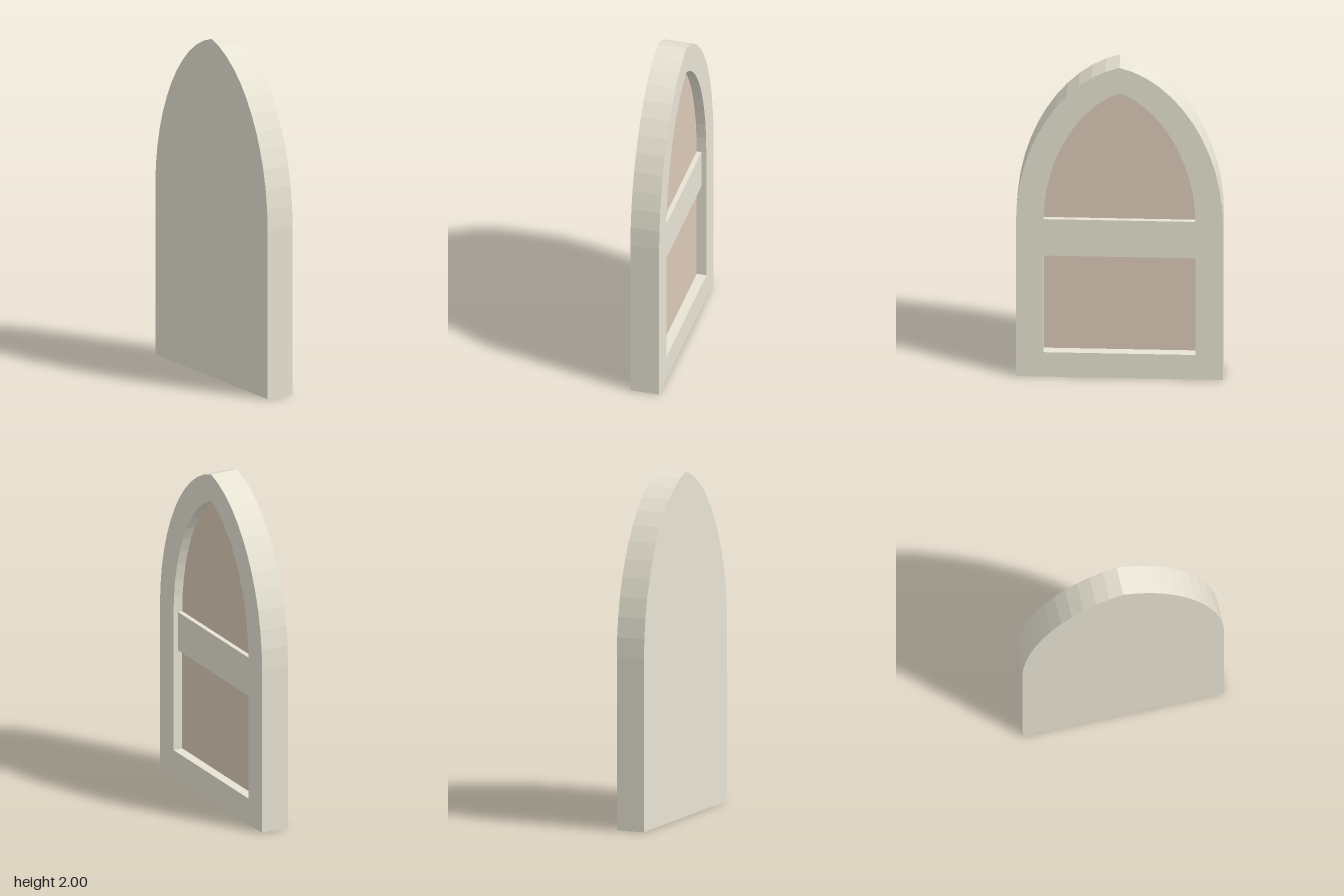
import * as THREE from 'three';

const HALF = 0.592, SPRING = 1.0, BORDER = 0.157;
const BACK = -0.085, FRONT = 0.085, PANEL = 0.028, RAIL = 0.056;

// Closed pointed-arch outline, inset by a distance measured square to the edge
function archPoints(inset) {
  const curve = new THREE.CubicBezierCurve(
    new THREE.Vector2(HALF, SPRING), new THREE.Vector2(HALF, 1.48),
    new THREE.Vector2(0.335, 1.916), new THREE.Vector2(0, 2));
  const side = [new THREE.Vector2(HALF - inset, inset)];
  const n = 12;
  for (let i = 0; i <= n; i++) {
    const p = curve.getPoint(i / n), t = curve.getTangent(i / n);
    p.x -= t.y * inset;
    p.y += t.x * inset;
    const last = side[side.length - 1];
    if (p.x <= 1e-6) { // the two sides meet on the centre line
      const k = last.x / (last.x - p.x);
      side.push(new THREE.Vector2(0, last.y + (p.y - last.y) * k));
      break;
    }
    side.push(p);
  }
  const mirrored = side.slice(0, -1).reverse().map(p => new THREE.Vector2(-p.x, p.y));
  return side.concat(mirrored);
}

// Extrude an outline along x between two depths
function slab(name, shape, x0, x1, material) {
  const geo = new THREE.ExtrudeGeometry(shape, { depth: x1 - x0, bevelEnabled: false });
  geo.rotateY(Math.PI / 2).translate(x0, 0, 0);
  const mesh = new THREE.Mesh(geo, material);
  mesh.name = name;
  return mesh;
}

export function createModel() {
  const group = new THREE.Group();
  group.name = 'archedPanel';
  const frameMat = new THREE.MeshStandardMaterial({ color: 0xe8e4d4 });
  const panelMat = new THREE.MeshStandardMaterial({ color: 0xddcab8 });
  const outer = archPoints(0), inner = archPoints(BORDER);

  // Solid back and raised border
  const split = PANEL - 0.02;
  group.add(slab('backBoard', new THREE.Shape(outer), BACK, split, frameMat));
  const border = new THREE.Shape(outer);
  border.holes.push(new THREE.Path(inner));
  group.add(slab('frameBorder', border, split, FRONT, frameMat));

  // Recessed coloured panel
  group.add(slab('recessedPanel', new THREE.Shape(inner), split, PANEL, panelMat));

  // Cross rail, standing halfway out of the recess
  const bottom = 0.765, top = 1.0;
  const rail = new THREE.Mesh(
    new THREE.BoxGeometry(RAIL - split, top - bottom, 2 * (HALF - BORDER)), frameMat);
  rail.position.set((RAIL + split) / 2, (top + bottom) / 2, 0);
  rail.name = 'crossRail';
  group.add(rail);
  return group;
}
